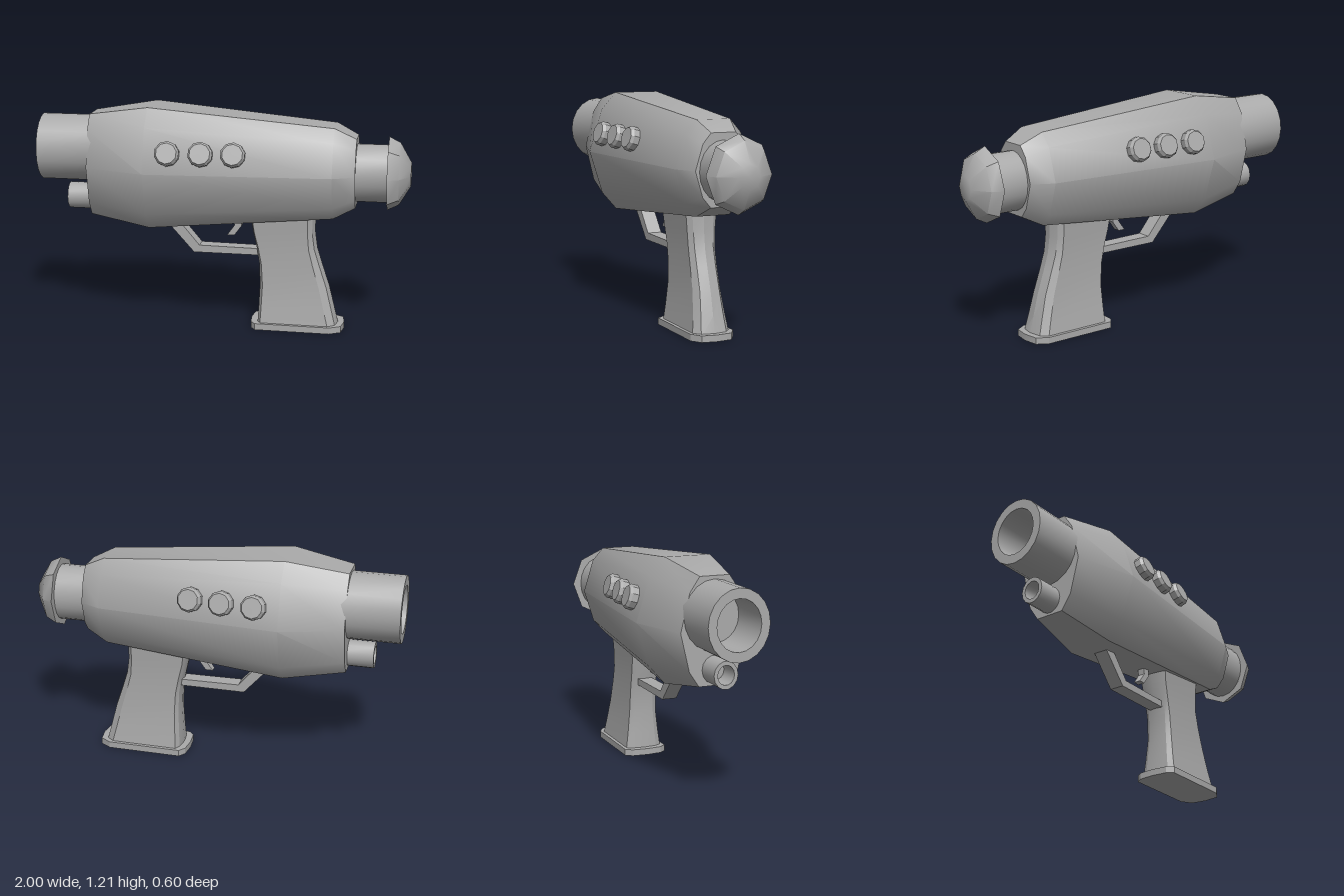
import * as THREE from 'three';
import { toCreasedNormals } from 'three/addons/utils/BufferGeometryUtils.js';

const material = new THREE.MeshStandardMaterial({ color: 0xaaaaaa });

export function createModel() {
  const model = new THREE.Group();

  const add = (name, geometry, crease = 0.5) => {
    const mesh = new THREE.Mesh(toCreasedNormals(geometry, crease), material);
    mesh.name = name;
    model.add(mesh);
    return mesh;
  };

  // Closed skin through rings of [x, y, z] points; rings run counter-clockwise seen from the last one
  const loft = (rings) => {
    const n = rings[0].length;
    const index = [];
    rings.slice(1).forEach((_, r) => {
      for (let i = 0; i < n; i++) {
        const a = r * n + i, b = r * n + (i + 1) % n;
        index.push(a, b, b + n, a, b + n, a + n);
      }
    });
    const last = (rings.length - 1) * n;
    for (let i = 1; i < n - 1; i++) {
      index.push(0, i + 1, i, last, last + i, last + i + 1);
    }
    const g = new THREE.BufferGeometry();
    g.setAttribute('position', new THREE.Float32BufferAttribute(rings.flat(2), 3));
    g.setIndex(index);
    return g.toNonIndexed();
  };

  // Turned part along x: profile of [radius, x], squashed in z
  const turned = (name, profile, sides, y, squash, crease) => {
    // The profile runs along -y first, then the half turn of the axis brings it to +x
    const g = new THREE.LatheGeometry(profile.map(([r, x]) => new THREE.Vector2(r, x)), sides);
    g.rotateZ(-Math.PI / 2).scale(1, 1, squash).translate(0, y, 0);
    return add(name, g, crease);
  };

  // Flat outline extruded evenly to both sides of z = 0
  const plate = (name, points, width) => {
    const shape = new THREE.Shape(points.map(([x, y]) => new THREE.Vector2(x, y)));
    const g = new THREE.ExtrudeGeometry(shape, { depth: width, bevelEnabled: false });
    return add(name, g.translate(0, 0, -width / 2));
  };

  // Ten-sided body: [x, height scale, width scale] of one cross-section
  const half = [[0.328, 0.125], [0.235, 0.207], [0, 0.281], [-0.235, 0.207], [-0.328, 0.125]];
  const section = [...half, ...half.map(([y, z]) => [y, -z]).reverse()];
  const body = [[-0.72, 0.84, 0.64], [-0.39, 1, 1], [0.6, 0.74, 0.74], [0.715, 0.565, 0.54]];
  add('body', loft(body.map(([x, sy, sz]) =>
    section.map(([y, z]) => [x, 0.877 + y * sy, z * sz]))), 0.65);

  // Hollow barrels
  turned('barrel', [[0, -0.75], [0.13, -0.75], [0.13, -1], [0.181, -1], [0.181, -0.68]], 20, 0.955, 0.9);
  turned('lowerTube', [[0, -0.74], [0.05, -0.74], [0.05, -0.86], [0.072, -0.86], [0.072, -0.68]], 14, 0.684, 0.9);

  // Rear neck and faceted end cap
  turned('rearNeck', [[0.155, 0.68], [0.155, 0.9]], 20, 0.871, 0.84);
  turned('rearCap', [[0, 0.88], [0.198, 0.88], [0.168, 0.94], [0.064, 1], [0, 1]], 8, 0.872, 0.89, 0.65);

  // Grip: ring with pointed front and back
  const gripRing = (y, x0, x1, w, cut) => [
    [x1, 0], [x1 - 0.012, 0.7], [x1 - cut, 1],
    [x0 + cut * 0.5, 1], [x0 + 0.008, 0.7], [x0, 0],
    [x0 + 0.008, -0.7], [x0 + cut * 0.5, -1],
    [x1 - cut, -1], [x1 - 0.012, -0.7],
  ].map(([x, z]) => [x, y, z * w]).reverse();
  add('grip', loft([
    [0.02, 0.19, 0.635, 0.103, 0.05], [0.12, 0.195, 0.61, 0.09, 0.05], [0.24, 0.2, 0.58, 0.078, 0.05],
    [0.36, 0.195, 0.54, 0.075, 0.045], [0.45, 0.18, 0.512, 0.075, 0.04],
    [0.54, 0.16, 0.5, 0.079, 0.035], [0.68, 0.14, 0.5, 0.09, 0.035],
  ].map((r) => gripRing(...r))), 0.35);
  add('gripBase', loft([0, 0.035].map((y) => gripRing(y, 0.155, 0.665, 0.12, 0.07))), 0.35);

  // Trigger guard and trigger
  plate('triggerGuard', [[-0.34, 0.6], [-0.16, 0.4], [0.21, 0.4], [0.21, 0.436],
    [-0.13, 0.44], [-0.265, 0.6]], 0.08);
  plate('trigger', [[0.05, 0.64], [0.06, 0.555], [0.02, 0.5], [0.06, 0.5],
    [0.1, 0.555], [0.1, 0.64]], 0.04);

  // Three bevelled buttons on each side, lying on the sloped upper panels
  const profile = [[0.066, -0.03], [0.066, 0.035], [0.055, 0.05], [0, 0.05]]
    .map(([r, h]) => new THREE.Vector2(r, h));
  const up = new THREE.Vector3(0, 1, 0);
  for (const side of [1, -1]) {
    const normal = new THREE.Vector3(0.07, 0.29, 0.955 * side).normalize();
    [-0.26, -0.085, 0.085].forEach((x, i) => {
      const button = add((side > 0 ? 'frontButton' : 'backButton') + (i + 1), new THREE.LatheGeometry(profile, 10));
      button.quaternion.setFromUnitVectors(up, normal);
      button.position.set(x, 0.982, side * (0.237 - 0.075 * (x + 0.26)));
    });
  }

  return model;
}
